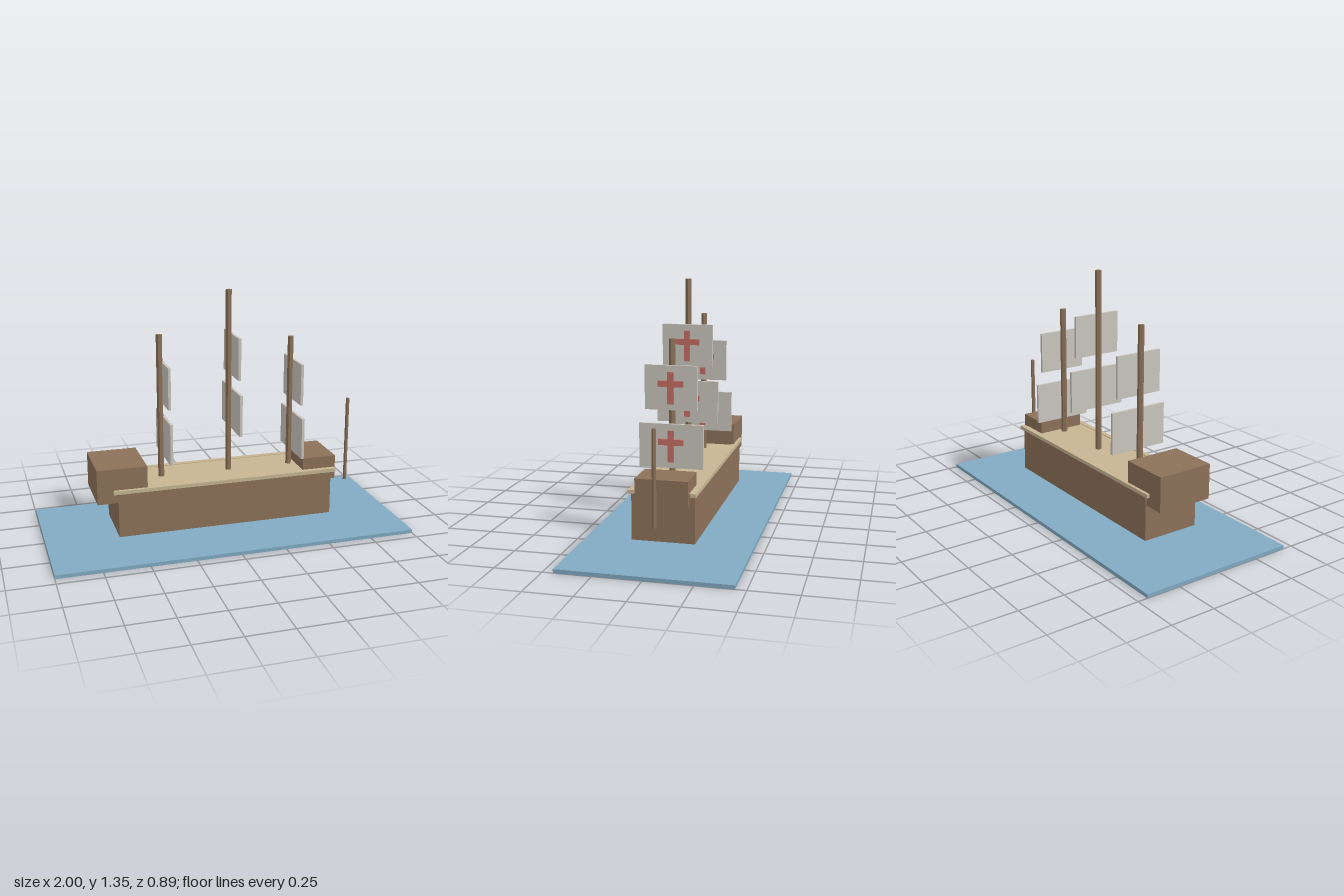
import * as THREE from 'three';

const paint = (name, color) => {
  const m = new THREE.MeshStandardMaterial({ color });
  m.name = name;
  return m;
};

export function createModel() {
  const ship = new THREE.Group();
  ship.name = 'sailingShip';
  const wood = paint('brownWood', 0x8c7259);
  const plank = paint('paleDeckWood', 0xc6b592);
  const canvas = paint('canvas', 0xcac6be);
  const red = paint('redCross', 0xc46e63);
  const water = paint('seaBlue', 0x81aac3);

  // Box given by its lower and upper limits on each axis
  function box(name, mat, [x0, x1], [y0, y1], [z0, z1], parent = ship) {
    const mesh = new THREE.Mesh(new THREE.BoxGeometry(x1 - x0, y1 - y0, z1 - z0), mat);
    mesh.position.set((x0 + x1) / 2, (y0 + y1) / 2, (z0 + z1) / 2);
    mesh.name = name;
    parent.add(mesh);
  }

  // Upright six-sided pole
  function pole(name, r, x, y0, y1, parent = ship) {
    const geo = new THREE.CylinderGeometry(r, r, y1 - y0, 6, 1, false, Math.PI / 2).toNonIndexed();
    geo.computeVertexNormals();
    const mesh = new THREE.Mesh(geo, wood);
    mesh.position.set(x, (y0 + y1) / 2, 0);
    mesh.name = name;
    parent.add(mesh);
  }

  // Sea, hull and castles
  box('sea', water, [-1, 1], [0, 0.02], [-0.445, 0.445]);
  box('hull', wood, [-0.612, 0.612], [0.06, 0.319], [-0.166, 0.166]);
  box('deck', plank, [-0.612, 0.612], [0.319, 0.326], [-0.166, 0.166]);
  box('sternCastle', wood, [-0.724, -0.449], [0.257, 0.45], [-0.16, 0.16]);
  box('foreCastle', wood, [0.453, 0.648], [0.257, 0.394], [-0.138, 0.138]);

  // Side rails
  for (const s of [-1, 1]) {
    box(s > 0 ? 'leftRail' : 'rightRail', plank, [-0.637, 0.637], [0.31, 0.33],
      [s * 0.162 - 0.015, s * 0.162 + 0.015]);
  }

  // Masts, each with a wide lower sail and a narrower upper sail
  const masts = [
    ['mizzenMast', -0.337, 1.13, 0.557, 0.86],
    ['mainMast', 0.053, 1.354, 0.686, 0.994],
    ['foreMast', 0.415, 1.075, 0.52, 0.825],
  ];
  for (const [name, x, top, lowY, highY] of masts) {
    const mast = new THREE.Group();
    mast.name = name;
    pole('pole', 0.017, x, 0.32, top, mast);
    for (const [label, y, half] of [['lowerSail', lowY, 0.17], ['upperSail', highY, 0.138]]) {
      box(label, canvas, [x + 0.014, x + 0.029], [y - 0.116, y + 0.116], [-half, half], mast);
      // Cross on the forward face
      const depth = [x + 0.029, x + 0.041];
      box(label + 'CrossUpright', red, depth, [y - 0.083, y + 0.083], [-0.016, 0.016], mast);
      for (const s of [-1, 1]) {
        box(label + 'CrossArm', red, depth, [y + 0.006, y + 0.037],
          s > 0 ? [0.016, 0.067] : [-0.067, -0.016], mast);
      }
    }
    ship.add(mast);
  }

  // Free-standing spar ahead of the bow
  pole('bowSpar', 0.011, 0.775, 0.187, 0.685);

  return ship;
}
